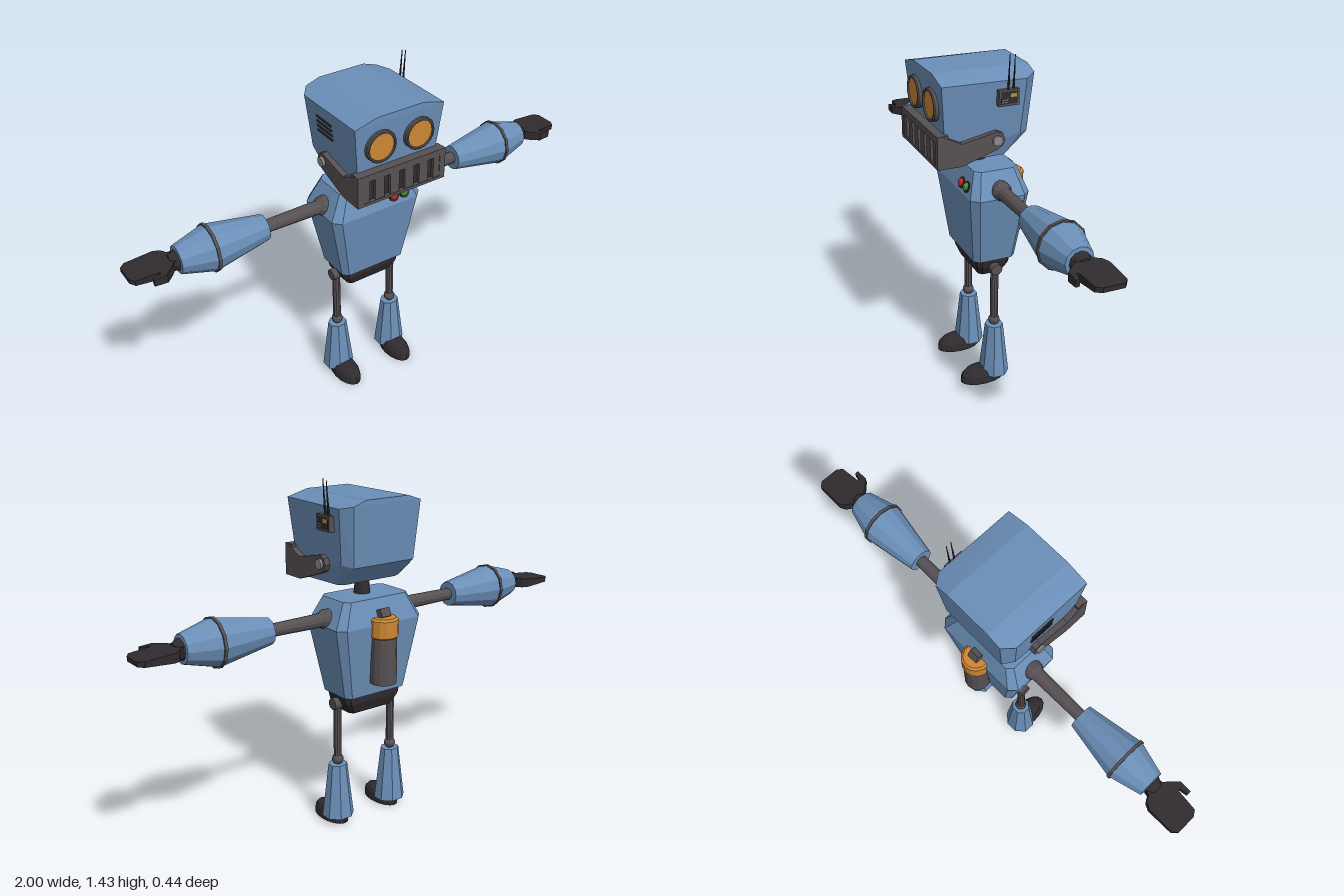
import * as THREE from 'three';
import { ConvexGeometry } from 'three/addons/geometries/ConvexGeometry.js';

const mat = (color) => new THREE.MeshStandardMaterial({ color, flatShading: true });
const blue = mat(0x6b8fb8), grey = mat(0x565053), dark = mat(0x302b2e), light = mat(0x8a8a8c);
const orange = mat(0xcc8633), red = mat(0xc02828), green = mat(0x3a9a2c), yellow = mat(0xa8a020);
const AXIS = -0.042; // depth of the body's centre line

export function createModel() {
  const root = new THREE.Group();

  const add = (name, geo, material, x = 0, y = 0, z = 0, parent = root) => {
    const mesh = new THREE.Mesh(geo, material);
    mesh.name = name;
    mesh.position.set(x, y, z);
    parent.add(mesh);
    return mesh;
  };
  const box = (w, h, d) => new THREE.BoxGeometry(w, h, d);
  const cyl = (top, bottom, h, n = 12) => new THREE.CylinderGeometry(top, bottom, h, n);
  const lathe = (pts, n) => new THREE.LatheGeometry(pts.map(([r, y]) => new THREE.Vector2(r, y)), n);
  const shape = (pts) => new THREE.Shape(pts.map(([x, y]) => new THREE.Vector2(x, y)));
  // Faceted solid from points on one side, mirrored across x = 0
  const hull = (pts) => new ConvexGeometry(
    pts.flatMap(([x, y, z]) => [new THREE.Vector3(x, y, z), new THREE.Vector3(-x, y, z)]));
  // Stack of rectangles with cut corners: [y, halfWidth, halfDepth, cut]
  const chamferedStack = (levels) => hull(levels.flatMap(([y, w, d, c]) =>
    [1, -1].flatMap((f) => [[w - c, y, AXIS + f * d], [w, y, AXIS + f * (d - c)]])));

  // Head with crowned top and cut rear corners
  add('head', hull([
    [0.195, 1.33, 0.2], [0.1, 1.355, 0.2], [0.165, 1.02, 0.175],
    [0.195, 1.325, -0.14], [0.175, 1.11, -0.125], [0.15, 1.02, -0.07],
    [0.16, 1.335, -0.185], [0.1, 1.355, -0.185], [0.145, 1.1, -0.165], [0.12, 1.02, -0.085],
  ]), blue);

  // Eyes: raised rim around a coloured lens
  for (const s of [1, -1]) {
    const eye = new THREE.Group();
    eye.name = 'eye';
    eye.position.set(s * 0.085, 1.235, 0.185);
    eye.rotation.x = Math.PI / 2;
    root.add(eye);
    add('eyeRim', lathe([[0.065, 0], [0.065, 0.022], [0.061, 0.027], [0.055, 0.027], [0.053, 0.015]], 20), grey, 0, 0, 0, eye);
    add('eyeLens', cyl(0.055, 0.055, 0.02, 20), orange, 0, 0.011, 0, eye);
  }

  // Jaw: plate with upright ribs, carried by two pivoting side arms
  add('jawPlate', box(0.38, 0.126, 0.03), dark, 0, 1.081, 0.19);
  add('jawTopRail', box(0.39, 0.028, 0.045), grey, 0, 1.131, 0.1975);
  add('jawBottomRail', box(0.39, 0.012, 0.045), grey, 0, 1.022, 0.1975);
  for (let i = 0; i < 6; i++) {
    add('jawRib', box(0.04, 0.11, 0.014), grey, -0.165 + i * 0.066, 1.075, 0.211);
  }
  const jawArm = shape([[0.22, 1.016], [0.22, 1.145], [0.203, 1.145], [0.12, 1.105], [-0.02, 1.135],
    [-0.043, 1.125], [-0.053, 1.1], [-0.043, 1.076], [-0.02, 1.063], [0.12, 1.016]]);
  for (const s of [1, -1]) {
    const geo = new THREE.ExtrudeGeometry(jawArm, { depth: 0.025, bevelEnabled: false });
    geo.rotateY(-Math.PI / 2);
    add('jawArm', geo, grey, s > 0 ? 0.198 : -0.173);
    add('jawPivot', cyl(0.02, 0.02, 0.016), light, s * 0.2, 1.1, -0.02).rotation.z = Math.PI / 2;
  }

  // Antenna unit on the left, louvres on the right
  add('antennaBox', box(0.025, 0.062, 0.082), grey, 0.199, 1.265, -0.06);
  add('antennaPanel', box(0.004, 0.046, 0.066), dark, 0.2115, 1.265, -0.06);
  add('antennaDisplay', box(0.004, 0.014, 0.024), yellow, 0.213, 1.275, -0.077);
  for (const y of [1.25, 1.259]) add('antennaStripe', box(0.004, 0.003, 0.026), light, 0.213, y, -0.042);
  for (const [z, h] of [[-0.061, 0.14], [-0.082, 0.135]]) {
    add('antenna', cyl(0.0015, 0.005, h, 6), dark, 0.204, 1.29 + h / 2, z).rotation.z = -0.07;
  }
  for (let i = 0; i < 4; i++) {
    add('headVent', box(0.008, 0.006, 0.1), dark, -0.1915 + i * 0.0016, 1.275 - i * 0.02, -0.01);
  }

  // Neck, torso and pelvis
  add('neck', cyl(0.026, 0.036, 0.1), dark, 0, 0.985, -0.025);
  add('torso', chamferedStack([[0.96, 0.155, 0.09, 0.022], [0.86, 0.208, 0.124, 0.03], [0.565, 0.15, 0.09, 0.022]]), blue);
  add('pelvis', chamferedStack([[0.566, 0.143, 0.072, 0.018], [0.53, 0.135, 0.07, 0.018], [0.485, 0.107, 0.053, 0.015]]), dark);

  // Chest lights
  for (const [x, m] of [[0.07, red], [0.12, green]]) {
    const bezel = add('chestLightBezel', cyl(0.023, 0.023, 0.014, 14), dark, x, 0.893, 0.068);
    bezel.rotation.x = 1.23;
    add('chestLight', new THREE.SphereGeometry(0.018, 12, 8), m, x, 0.894, 0.07);
  }

  // Canister on the back
  add('canister', cyl(0.054, 0.054, 0.2, 14), grey, 0, 0.72, -0.164);
  add('canisterCap', lathe([[0.054, 0.81], [0.059, 0.815], [0.059, 0.882], [0.05, 0.89], [0, 0.89]], 14), orange, 0, 0, -0.164);
  add('canisterConnector', box(0.045, 0.035, 0.05), grey, 0, 0.9, -0.155).rotation.x = 0.45;

  // Hand outline (distance from body centre, depth) with a forward thumb
  const handOutline = [[0.79, -0.072], [0.83, -0.08], [0.845, -0.105], [0.87, -0.118], [0.98, -0.118], [1, -0.1],
    [1, -0.02], [0.985, 0.003], [0.9, 0.01], [0.895, 0.02], [0.93, 0.025], [0.93, 0.04], [0.88, 0.04],
    [0.85, 0.01], [0.835, -0.01], [0.79, -0.016]];

  for (const s of [1, -1]) {
    const side = s > 0 ? 'left' : 'right';

    // Arm: built upright, then turned outwards
    const arm = new THREE.Group();
    arm.name = side + 'Arm';
    arm.position.set(0, 0.885, AXIS);
    arm.rotation.z = -s * Math.PI / 2;
    root.add(arm);
    add('shoulder', lathe([[0, 0.16], [0.04, 0.17], [0.04, 0.2], [0.028, 0.22], [0, 0.22]], 12), grey, 0, 0, 0, arm);
    add('upperArm', cyl(0.025, 0.029, 0.27), grey, 0, 0.33, 0, arm);
    add('forearm', lathe([[0, 0.45], [0.052, 0.45], [0.092, 0.68], [0.056, 0.81], [0, 0.815]], 12), blue, 0, 0, 0, arm);
    add('forearmBand', cyl(0.096, 0.096, 0.012), grey, 0, 0.68, 0, arm);
    add('wrist', cyl(0.028, 0.042, 0.03), dark, 0, 0.825, 0, arm);

    // Hand: flat slab thinning towards the fingertips
    const hand = new THREE.ExtrudeGeometry(shape(handOutline.map(([x, z]) => [s * x, z])), { depth: 1, bevelEnabled: false });
    hand.translate(0, 0, -0.5).rotateX(Math.PI / 2);
    const p = hand.attributes.position;
    for (let i = 0; i < p.count; i++) {
      p.setY(i, p.getY(i) * THREE.MathUtils.mapLinear(Math.abs(p.getX(i)), 0.79, 1, 0.046, 0.018));
    }
    hand.computeVertexNormals();
    add(side + 'Hand', hand, dark, 0, 0.884, 0);

    // Leg
    const leg = new THREE.Group();
    leg.name = side + 'Leg';
    leg.position.set(s * 0.137, 0, AXIS);
    root.add(leg);
    add('hip', cyl(0.024, 0.024, 0.05), grey, 0, 0.525, 0, leg).rotation.z = Math.PI / 2;
    add('thigh', cyl(0.017, 0.017, 0.25, 10), grey, 0, 0.4, 0, leg);
    add('knee', new THREE.SphereGeometry(0.024, 12, 8), grey, 0, 0.28, 0, leg);
    const shin = cyl(0.04, 0.068, 0.23, 8).rotateY(Math.PI / 8).scale(1, 1, 0.92);
    add('shin', shin, blue, 0, 0.145, 0, leg);

    // Foot: low dome on a flat sole
    const foot = lathe([[0, 0], [1, 0], [1, 0.014], [0.94, 0.034], [0.78, 0.05], [0.4, 0.06], [0, 0.061]], 16);
    foot.scale(0.052, 1, 0.096);
    add('foot', foot, dark, s * -0.003, 0, 0.052, leg);
  }
  return root;
}
